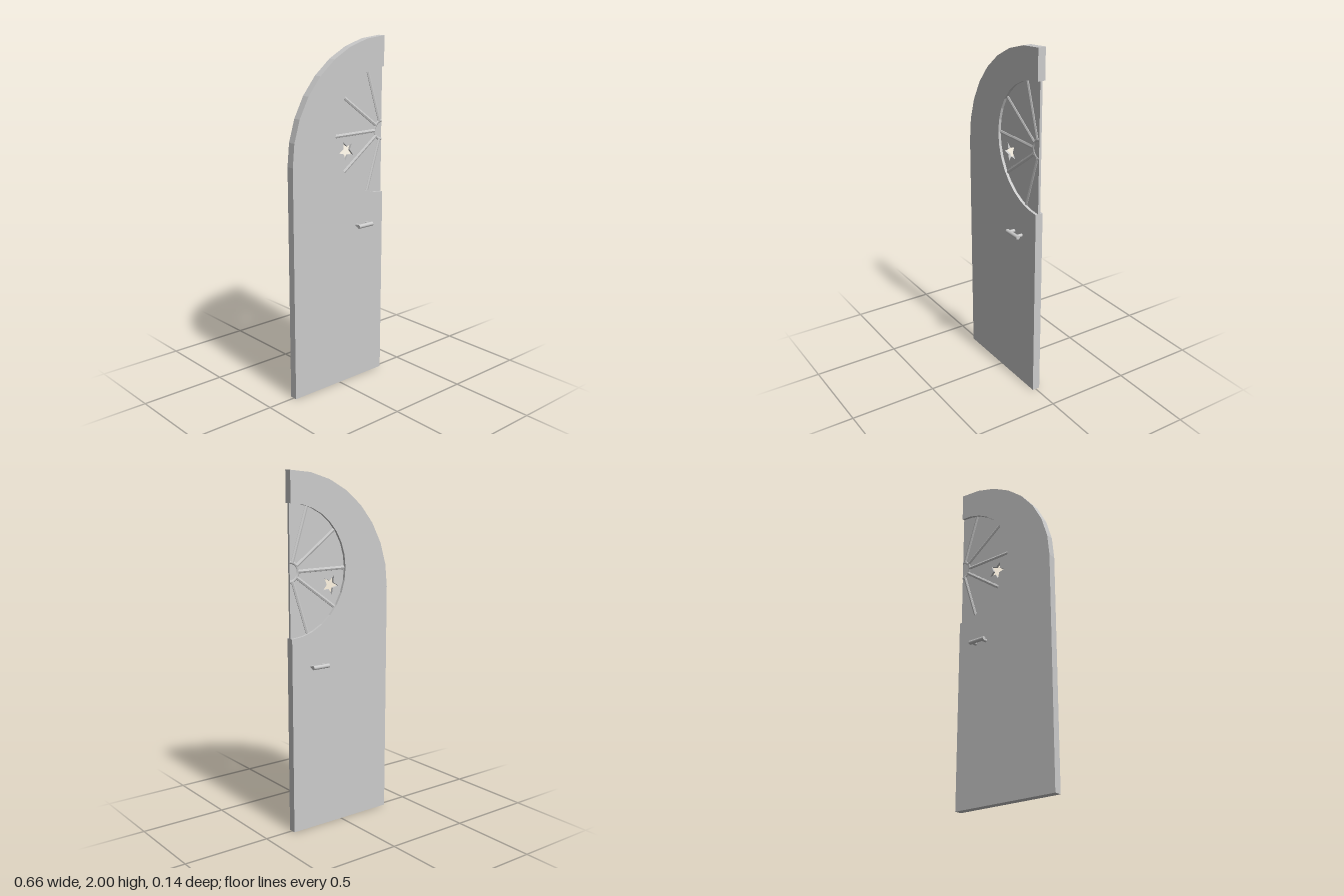
import * as THREE from 'three';

const EDGE = 0.33;               // straight (meeting) edge of the door leaf
const ARCH_Y = 1.34, ARCH_R = 0.66;
const WIN_Y = 1.47, WIN_R = 0.36, HUB_R = 0.053;
const MID_Z = -0.0025;           // middle of the door thickness
const THICK = 0.045, PANE = 0.014;

const material = new THREE.MeshStandardMaterial({ color: 0xcccccc, flatShading: true });
const smooth = new THREE.MeshStandardMaterial({ color: 0xcccccc });

// points along an arc centred on the straight edge
function arc(cy, r, from, to, segments) {
  return Array.from({ length: segments + 1 }, (_, i) => {
    const a = from + ((to - from) * i) / segments;
    return new THREE.Vector2(EDGE + r * Math.cos(a), cy + r * Math.sin(a));
  });
}

function add(parent, name, geometry, mat = material) {
  const mesh = new THREE.Mesh(geometry, mat);
  mesh.name = name;
  parent.add(mesh);
  return mesh;
}

function slab(shape, depth) {
  return new THREE.ExtrudeGeometry(shape, { depth, bevelEnabled: false })
    .translate(0, 0, MID_Z - depth / 2);
}

export function createModel() {
  const door = new THREE.Group();
  door.name = 'archedDoor';

  // door leaf: quarter-round top and a half-round opening on the straight edge
  const leaf = new THREE.Shape([
    new THREE.Vector2(-EDGE, 0),
    new THREE.Vector2(EDGE, 0),
    ...arc(WIN_Y, WIN_R, Math.PI * 1.5, Math.PI * 0.5, 16),
    ...arc(ARCH_Y, ARCH_R, Math.PI * 0.5, Math.PI, 8),
  ]);
  add(door, 'doorLeaf', slab(leaf, THICK));

  // recessed pane with a star-shaped hole
  const window = new THREE.Group();
  window.name = 'window';
  door.add(window);
  const pane = new THREE.Shape(arc(WIN_Y, WIN_R, Math.PI * 0.5, Math.PI * 1.5, 16));
  const star = Array.from({ length: 10 }, (_, i) => {
    const a = THREE.MathUtils.degToRad(260 + i * 36);
    const r = i % 2 ? 0.025 : 0.055;
    return new THREE.Vector2(0.063 + r * Math.cos(a), 1.38 + r * Math.sin(a));
  });
  pane.holes.push(new THREE.Path(star));
  add(window, 'pane', slab(pane, PANE));

  // glazing bars fanning out from the hub
  const barLength = WIN_R - HUB_R;
  for (let i = 0; i < 5; i++) {
    const a = THREE.MathUtils.degToRad(108 + i * 36);
    const mid = HUB_R + barLength / 2;
    const bar = add(window, 'glazingBar', new THREE.CylinderGeometry(0.013, 0.013, barLength, 8));
    bar.position.set(EDGE + mid * Math.cos(a), WIN_Y + mid * Math.sin(a), MID_Z);
    bar.rotation.z = a - Math.PI / 2;
  }

  // half-ring hub
  const hub = add(window, 'hubRing', new THREE.TorusGeometry(HUB_R, 0.011, 8, 12, Math.PI), smooth);
  hub.position.set(EDGE, WIN_Y, MID_Z);
  hub.rotation.z = Math.PI / 2;

  // pull handles on both faces
  const handle = new THREE.Group();
  handle.name = 'handle';
  handle.position.set(0.165, 0.943, MID_Z);
  door.add(handle);
  for (const side of [1, -1]) {
    const grip = add(handle, 'handleGrip', new THREE.CylinderGeometry(0.0117, 0.0117, 0.106, 16), smooth);
    grip.rotation.z = Math.PI / 2;
    grip.position.z = side * 0.0573;
    for (const x of [-0.035, 0.037]) {
      const post = add(handle, 'handlePost', new THREE.CylinderGeometry(0.0095, 0.0095, 0.04, 12), smooth);
      post.rotation.x = Math.PI / 2;
      post.position.set(x, 0, side * 0.037);
    }
  }
  return door;
}
